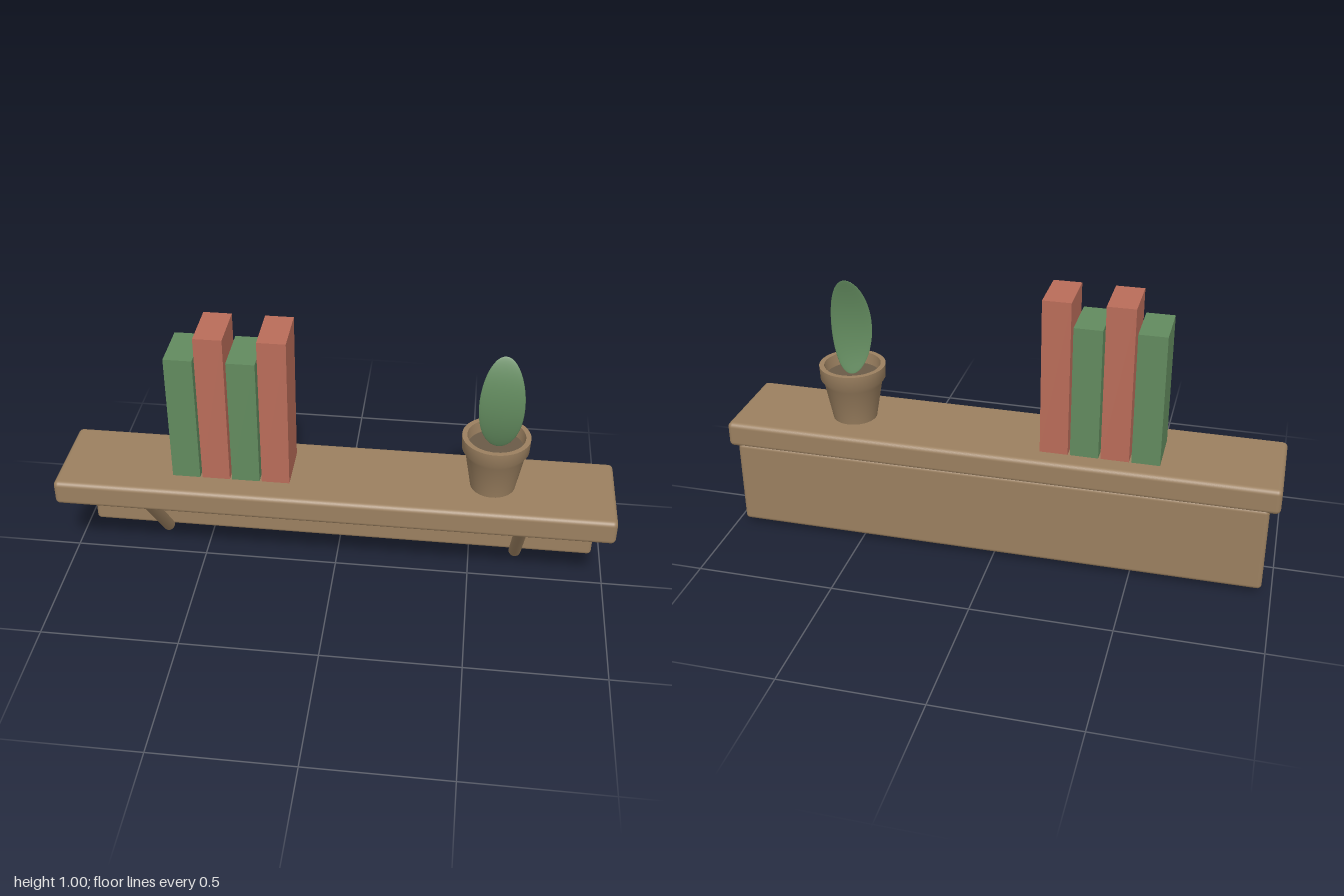
import * as THREE from 'three';
import { toCreasedNormals } from 'three/addons/utils/BufferGeometryUtils.js';
import { RoundedBoxGeometry } from 'three/addons/geometries/RoundedBoxGeometry.js';

const material = (name, color, side = THREE.FrontSide) => {
  const m = new THREE.MeshStandardMaterial({ color, side });
  m.name = name;
  return m;
};

export function createModel() {
  const wood = material('wood', 0x9b8060);
  const red = material('red cover', 0xb96c59);
  const green = material('green', 0x628a5e);
  const soilBrown = material('soil', 0x6a5a47);

  const model = new THREE.Group();
  model.name = 'wallShelf';
  const add = (name, geometry, mat, x, y, z) => {
    const mesh = new THREE.Mesh(geometry, mat);
    mesh.name = name;
    mesh.position.set(x, y, z);
    model.add(mesh);
    return mesh;
  };

  // Board and the panel against the wall
  add('shelfBoard', new RoundedBoxGeometry(2, 0.095, 0.36, 4, 0.018), wood, 0, 0.3775, 0);
  add('backPanel', new RoundedBoxGeometry(1.93, 0.325, 0.045, 4, 0.016), wood, 0, 0.1825, -0.1575);

  // Slanted round braces, from the foot of the panel up into the board
  const foot = new THREE.Vector2(-0.1375, 0.015), head = new THREE.Vector2(0.144, 0.357);
  const run = head.clone().sub(foot), mid = head.clone().add(foot).multiplyScalar(0.5);
  for (const side of [-1, 1]) {
    const brace = add(side > 0 ? 'leftBrace' : 'rightBrace',
      new THREE.CylinderGeometry(0.023, 0.023, run.length(), 20), wood, side * 0.677, mid.y, mid.x);
    brace.rotation.x = Math.atan2(run.x, run.y);
  }

  // Books alternate short green and tall red
  for (let i = 0; i < 4; i++) {
    const tall = i % 2 === 1;
    const height = tall ? 0.573 : 0.485;
    add('book' + (i + 1), new THREE.BoxGeometry(0.1, height, 0.187),
      tall ? red : green, -0.53 + i * 0.108, 0.425 + height / 2, -0.0125);
  }

  // Hollow pot with a collar
  const potX = 0.565;
  const profile = [[0, 0], [0.08, 0], [0.105, 0.14], [0.118, 0.16], [0.12, 0.21],
    [0.102, 0.21], [0.095, 0.15], [0, 0.15]].map(p => new THREE.Vector2(...p));
  add('pot', toCreasedNormals(new THREE.LatheGeometry(profile, 40), 0.6), wood, potX, 0.425, 0);
  const soil = add('soil', new THREE.CircleGeometry(0.098, 40), soilBrown, potX, 0.592, 0);
  soil.rotation.x = -Math.PI / 2;

  // Thin oval leaf, bowed forward at mid height
  const leaf = new THREE.SphereGeometry(1, 28, 24).scale(0.078, 0.182, 0.006);
  const pos = leaf.attributes.position;
  for (let i = 0; i < pos.count; i++) {
    const t = pos.getY(i) / 0.182;
    pos.setZ(i, pos.getZ(i) + 0.034 * (1 - t * t));
  }
  leaf.computeVertexNormals();
  add('leaf', leaf, green, 0.573, 0.774, 0);

  return model;
}
